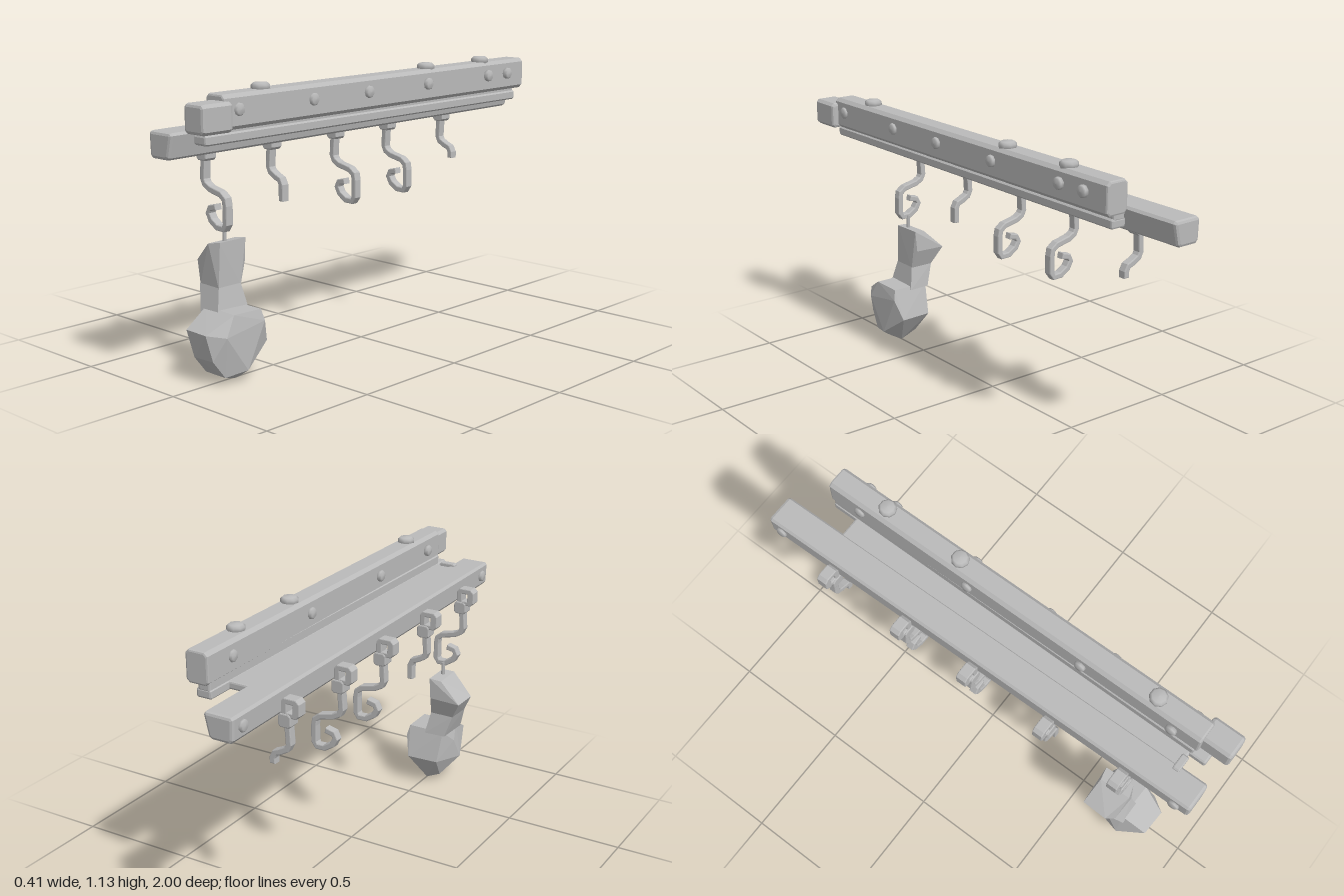
import * as THREE from 'three';
import { ConvexGeometry } from 'three/addons/geometries/ConvexGeometry.js';

const grey = new THREE.MeshStandardMaterial({ color: 0xbababa });
grey.name = 'plain grey';

function add(parent, name, geometry, x = 0, y = 0, z = 0) {
  const mesh = new THREE.Mesh(geometry, grey);
  mesh.name = name;
  mesh.position.set(x, y, z);
  parent.add(mesh);
  return mesh;
}

const shapeOf = (pts) => new THREE.Shape(pts.map(([x, y]) => new THREE.Vector2(x, y)));

// Extrudes an xy outline from z0 to z1 with small bevels on the ends
function bar(shape, z0, z1, bevel = 0.008) {
  const g = new THREE.ExtrudeGeometry(shape, {
    depth: z1 - z0 - 2 * bevel, bevelEnabled: true, bevelThickness: bevel,
    bevelSize: bevel, bevelOffset: -bevel, bevelSegments: 2,
  });
  return g.translate(0, 0, z0 + bevel);
}

// Shifts x in proportion to z, for slightly crooked timber
function skew(g, k) {
  const p = g.attributes.position;
  for (let i = 0; i < p.count; i++) p.setX(i, p.getX(i) + k * p.getZ(i));
  g.computeVertexNormals();
  return g;
}

// Box outline with cut corners
function chamfered(x0, x1, y0, y1, c) {
  return shapeOf([[x0 + c, y0], [x1 - c, y0], [x1, y0 + c], [x1, y1 - c],
    [x1 - c, y1], [x0 + c, y1], [x0, y1 - c], [x0, y0 + c]]);
}

// Flat strip of thickness t following a path in the xy plane
function strip(path, t, width) {
  const left = [], right = [];
  path.forEach(([x, y], i) => {
    const a = path[Math.max(i - 1, 0)], b = path[Math.min(i + 1, path.length - 1)];
    const dx = b[0] - a[0], dy = b[1] - a[1], l = Math.hypot(dx, dy);
    const ox = (-dy / l) * t / 2, oy = (dx / l) * t / 2;
    left.push([x + ox, y + oy]);
    right.unshift([x - ox, y - oy]);
  });
  return bar(shapeOf([...right, ...left].reverse()), -width / 2, width / 2, 0.004);
}

// Domed bolt head pointing along +y, turned to face the given side
function bolt(parent, name, x, y, z, r, h, turn = 0) {
  const profile = [[0, -0.01], [r, -0.01], [r, h * 0.55], [r * 0.75, h * 0.9], [0, h]];
  const g = new THREE.LatheGeometry(profile.map(([a, b]) => new THREE.Vector2(a, b)), 9);
  add(parent, name, g, x, y, z).rotation.z = turn;
}

function makeHook(z, length, dx) {
  const hook = new THREE.Group();
  hook.name = 'hook';
  // Looped clip on the beam
  const loop = chamfered(-0.205, -0.125, 0.86, 0.935, 0.015);
  loop.holes.push(new THREE.Path([[-0.175, 0.88], [-0.175, 0.912], [-0.15, 0.912], [-0.15, 0.88]]
    .map(([x, y]) => new THREE.Vector2(x, y))));
  add(hook, 'clipLoop', bar(loop, -0.023, 0.023, 0.004));
  add(hook, 'clip', bar(chamfered(-0.17, -0.115, 0.82, 0.875, 0.01), -0.027, 0.027, 0.005));
  // Bent strip, either short or curled round into a full hook
  const stem = [[-0.145, 0.86], [-0.152, 0.75], [-0.142, 0.73], [-0.115, 0.715]];
  const tail = length
    ? [[-0.09, 0.705], [-0.08, 0.685], [-0.08, length]]
    : [[-0.055, 0.702], [-0.032, 0.685], [-0.028, 0.66], [-0.028, 0.59], [-0.04, 0.572],
      [-0.075, 0.573], [-0.11, 0.595], [-0.125, 0.622], [-0.115, 0.642], [-0.08, 0.65]];
  add(hook, 'hookStrip', strip([...stem, ...tail], 0.024, 0.034));
  hook.position.set(dx, 0, z);
  return hook;
}

export function createModel() {
  const model = new THREE.Group();
  model.name = 'hangingRack';

  // Lower beam, narrower at its underside
  const low = shapeOf([[-0.112, 0.866], [-0.035, 0.866], [-0.022, 0.875], [-0.003, 0.957],
    [-0.012, 0.967], [-0.118, 0.967], [-0.127, 0.957], [-0.124, 0.88]]);
  add(model, 'lowerBeam', skew(bar(low, -1, 0.985, 0.012), 0.013));

  // Shelf joining both beams, and the ledge under the upper beam
  add(model, 'shelf', bar(chamfered(-0.06, 0.1, 0.93, 0.962, 0.004), -0.73, 0.86));
  add(model, 'ledge', bar(chamfered(0.068, 0.133, 0.927, 0.965, 0.006), -0.84, 0.93));
  add(model, 'ledgeWeb', bar(chamfered(0.072, 0.125, 0.955, 1.0, 0.004), -0.84, 0.87));
  add(model, 'shelfSplinter', bar(chamfered(-0.02, 0.05, 0.955, 0.978, 0.006), 0.84, 0.87, 0.005));

  // Upper beam with its shifted end block
  add(model, 'upperBeam', skew(bar(chamfered(0.074, 0.172, 0.98, 1.108, 0.014), -0.85, 0.88), 0.005));
  add(model, 'upperBeamEnd', bar(chamfered(0.1, 0.204, 0.978, 1.086, 0.012), 0.86, 1, 0.012));

  // Bolt heads
  for (const z of [0.81, 0.44, 0.14, -0.21, -0.6, -0.73])
    bolt(model, 'sideBolt', 0.171, 1.052, z, 0.024, 0.018, -Math.PI / 2);
  for (const z of [0.76, 0.35, -0.18, -0.7])
    bolt(model, 'innerBolt', 0.075, 1.05, z, 0.024, 0.018, Math.PI / 2);
  for (const z of [0.66, -0.25, -0.6])
    bolt(model, 'topBolt', 0.125, 1.107, z, 0.036, 0.025);
  for (const [x, z] of [[-0.138, -0.94], [-0.115, 0.92]])
    bolt(model, 'lowerBolt', x, 0.92, z, 0.024, 0.014, Math.PI / 2);

  // Hooks: z, end height of a short one (0 for curled), sideways shift
  for (const [z, length, dx] of [[0.7, 0, 0.006], [0.36, 0.62, 0.002], [0, 0, 0],
    [-0.32, 0, -0.004], [-0.68, 0.66, -0.006]]) model.add(makeHook(z, length, dx));

  // Hanging joint: wire, neck and faceted chunk
  const joint = new THREE.Group();
  joint.name = 'hangingJoint';
  model.add(joint);
  add(joint, 'wire', new THREE.CylinderGeometry(0.008, 0.008, 0.07, 6), -0.06, 0.54, 0.685);
  const hull = (pts) => new ConvexGeometry(pts.map((p) => new THREE.Vector3(...p)));
  add(joint, 'upperNeck', hull([
    [-0.085, 0.515, 0.745], [-0.09, 0.515, 0.61], [-0.035, 0.522, 0.73], [-0.038, 0.522, 0.6],
    [-0.19, 0.43, 0.71], [-0.185, 0.425, 0.6], [-0.04, 0.43, 0.735], [-0.045, 0.43, 0.598],
    [-0.145, 0.345, 0.735], [-0.14, 0.345, 0.63], [-0.035, 0.345, 0.74], [-0.035, 0.345, 0.63]]));
  add(joint, 'lowerNeck', hull([
    [-0.148, 0.35, 0.735], [-0.142, 0.35, 0.63], [-0.035, 0.35, 0.74], [-0.035, 0.35, 0.63],
    [-0.115, 0.25, 0.765], [-0.11, 0.25, 0.615], [-0.015, 0.25, 0.765], [-0.015, 0.25, 0.61]]));
  add(joint, 'chunk', hull([
    [-0.1, 0.27, 0.75], [-0.1, 0.265, 0.62], [0.065, 0.268, 0.755], [0.065, 0.265, 0.62],
    [-0.085, 0.205, 0.86], [0.03, 0.205, 0.865], [0.076, 0.19, 0.8], [0.076, 0.22, 0.61],
    [-0.118, 0.2, 0.7], [-0.125, 0.105, 0.75], [-0.09, 0.13, 0.585], [0.05, 0.13, 0.578],
    [0.04, 0.1, 0.84], [-0.06, 0.1, 0.845], [0.078, 0.045, 0.7], [0.05, 0.03, 0.79],
    [-0.06, 0.03, 0.79], [-0.07, 0.035, 0.66], [0, 0, 0.67], [0.02, 0.005, 0.72]]));

  return model;
}
